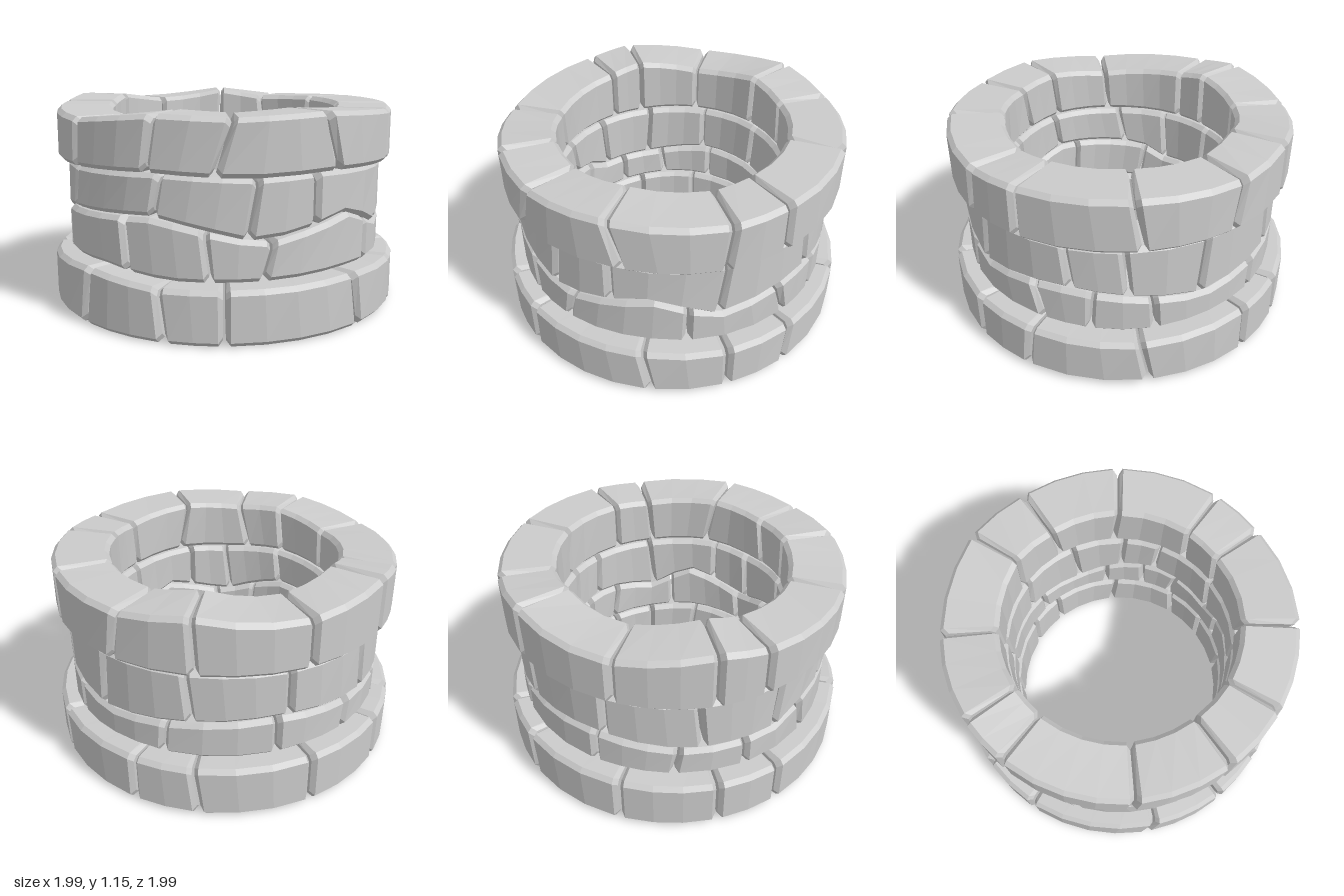
import * as THREE from 'three';

const RAD = Math.PI / 180;
const lerp = (a, b, t) => a + (b - a) * t;

// Height around the ring, interpolated between [degrees, y] points
function heightAt(points, deg) {
  const d = ((deg - points[0][0]) % 360 + 360) % 360 + points[0][0];
  for (let i = 0; i < points.length; i++) {
    const a = points[i];
    const b = points[i + 1] || [points[0][0] + 360, points[0][1]];
    if (d <= b[0]) return lerp(a[1], b[1], (d - a[0]) / (b[0] - a[0]));
  }
  return points[0][1];
}

// Wavy edges between the courses
const ground = [[0, 0.01], [90, 0.015], [180, 0.01], [270, 0.01]];
const edge1 = [[-80, 0.3], [-36, 0.335], [-9, 0.3], [30, 0.305], [52, 0.315], [78, 0.3],
  [100, 0.3], [136, 0.29], [172, 0.31], [228, 0.32]];
const edge2 = [[-75, 0.5], [-63, 0.57], [-25, 0.61], [-13, 0.62], [3, 0.57], [18, 0.515], [25, 0.515],
  [55, 0.61], [76, 0.49], [101, 0.54], [113, 0.55], [132, 0.52], [158, 0.47], [190, 0.53], [218, 0.55], [250, 0.5]];
const edge3 = [[-50, 0.825], [-12, 0.845], [18, 0.825], [42, 0.84], [76, 0.825], [112, 0.83],
  [157, 0.835], [200, 0.84], [255, 0.825]];
const rim = [[-86, 1.13], [-43, 1.09], [-12, 1.135], [11, 1.12], [43, 1.14], [78, 1.115], [97, 1.13],
  [135, 1.14], [167, 1.13], [180, 1.15], [192, 1.17], [210, 1.13], [227, 1.12], [259, 1.165]];

// Each joint: [degrees at the bottom, degrees at the top]
const courses = [
  { name: 'baseCourse', inner: 0.635, outer: 0.995, low: ground, high: edge1,
    joints: [[-38, -35], [-8, -10], [9.5, 9.5], [54, 51], [78, 78], [99, 101], [138, 135],
      [172, 172], [193, 191], [228, 228], [259, 259], [280, 280]] },
  { name: 'lowerCourse', inner: 0.64, outer: 0.905, low: edge1, high: edge2,
    joints: [[-63, -66], [-23.5, -25], [5, 3], [22, 25], [65.5, 66], [103, 99], [119, 120],
      [141, 140], [180, 181], [218, 218], [245, 247], [270, 270]] },
  { name: 'upperCourse', inner: 0.64, outer: 0.905, low: edge2, high: edge3,
    joints: [[-54, -50], [-13.5, -11], [17, 20], [40, 40], [76, 78.5], [113, 111], [132, 130],
      [156, 158], [190, 188], [222, 222], [255, 253], [281, 283]] },
  { name: 'rimCourse', inner: 0.645, outer: 0.96, low: edge3, high: rim,
    joints: [[-44, -42.5], [-14, -11.5], [6.5, 12], [46, 41], [76.5, 78.5], [97, 97], [136, 133],
      [165, 168], [192, 191], [227, 227], [258, 258], [274, 274]] },
];

// Curved block with bevelled edges, swept between two slanted joints
function stoneGeometry({ inner, outer, low, high }, from, to) {
  const bevel = 0.024, gap = 0.006;
  const span = (to[0] + to[1] - from[0] - from[1]) / 2;
  const tip = bevel * 0.8 / (0.8 * span * RAD);
  const margin = gap / (0.8 * span * RAD);
  const steps = Math.max(2, Math.round(span / 11));
  const stations = [[margin, bevel]];
  for (let i = 0; i <= steps; i++) {
    stations.push([lerp(margin + tip, 1 - margin - tip, i / steps), 0]);
  }
  stations.push([1 - margin, bevel]);

  const positions = [], index = [];
  for (const [u, inset] of stations) {
    const mid = lerp((from[0] + from[1]) / 2, (to[0] + to[1]) / 2, u);
    const r0 = inner + inset, r1 = outer - inset;
    const y0 = heightAt(low, mid) + 0.004 + inset;
    const y1 = heightAt(high, mid) - 0.004 - inset;
    const c = bevel;
    const section = [[r0 + c, y0], [r1 - c, y0], [r1, y0 + c], [r1, y1 - c],
      [r1 - c, y1], [r0 + c, y1], [r0, y1 - c], [r0, y0 + c]];
    for (const [r, y] of section) {
      const f = (y - y0) / (y1 - y0);
      const angle = lerp(lerp(from[0], from[1], f), lerp(to[0], to[1], f), u) * RAD;
      positions.push(r * Math.sin(angle), y, r * Math.cos(angle));
    }
  }
  const n = 8, last = (stations.length - 1) * n;
  for (let s = 0; s < last; s += n) {
    for (let j = 0; j < n; j++) {
      const k = (j + 1) % n;
      index.push(s + j, s + n + j, s + n + k, s + j, s + n + k, s + k);
    }
  }
  for (let j = 1; j < n - 1; j++) {
    index.push(0, j, j + 1, last, last + j + 1, last + j);
  }
  const geometry = new THREE.BufferGeometry();
  geometry.setAttribute('position', new THREE.Float32BufferAttribute(positions, 3));
  geometry.setIndex(index);
  geometry.computeVertexNormals();
  return geometry;
}

export function createModel() {
  const model = new THREE.Group();
  model.name = 'stoneWell';
  const stone = new THREE.MeshStandardMaterial({ color: 0xcccccc, flatShading: true });

  // Four stacked rings of stones
  for (const course of courses) {
    const ring = new THREE.Group();
    ring.name = course.name;
    course.joints.forEach((joint, i) => {
      const first = course.joints[0];
      const next = course.joints[i + 1] || [first[0] + 360, first[1] + 360];
      const mesh = new THREE.Mesh(stoneGeometry(course, joint, next), stone);
      mesh.name = 'stone' + (i + 1);
      ring.add(mesh);
    });
    model.add(ring);
  }
  return model;
}
